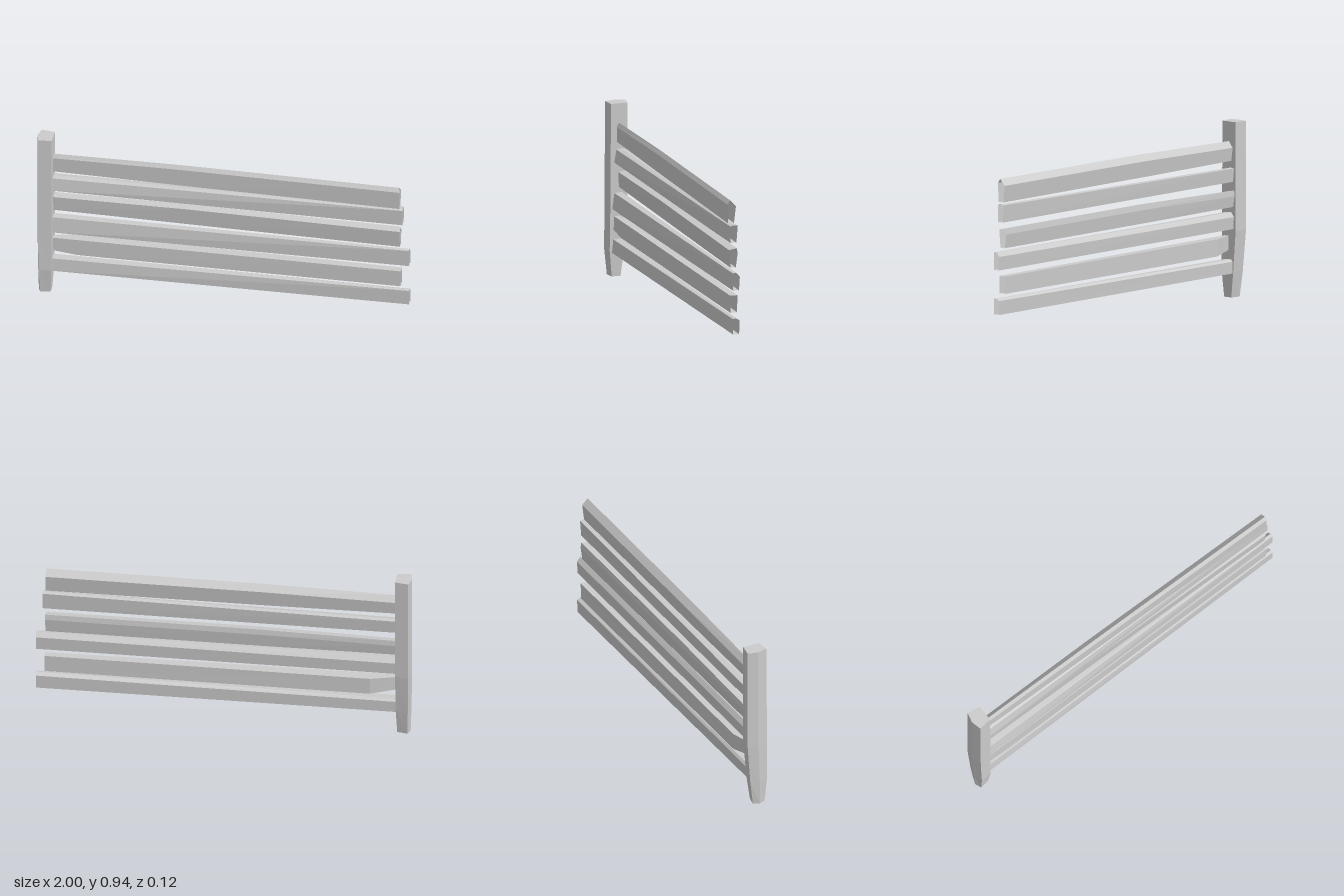
import * as THREE from 'three';

const material = new THREE.MeshStandardMaterial({ color: 0xcccccc, flatShading: true, side: THREE.DoubleSide });

// Skin a list of equal-count rings of Vector3, optionally capping both ends.
function loft(name, rings, capped) {
  const n = rings[0].length;
  const index = [];
  for (let r = 0; r < rings.length - 1; r++) {
    for (let i = 0; i < n; i++) {
      const a = r * n + i, b = r * n + (i + 1) % n;
      index.push(a, a + n, b + n, a, b + n, b);
    }
  }
  if (capped) {
    const e = (rings.length - 1) * n;
    for (let i = 1; i < n - 1; i++) index.push(0, i, i + 1, e, e + i + 1, e + i);
  }
  const indexed = new THREE.BufferGeometry().setFromPoints(rings.flat());
  indexed.setIndex(index);
  const geometry = indexed.toNonIndexed();
  geometry.computeVertexNormals();
  const mesh = new THREE.Mesh(geometry, material);
  mesh.name = name;
  return mesh;
}

// One level of the five-sided post: flat inner side, pointed outer side.
function postRing(y, front, back, inner, outer) {
  return [
    new THREE.Vector3(inner, y, front - 0.009),
    new THREE.Vector3(outer + 0.013, y, front),
    new THREE.Vector3(outer, y, (front + back) / 2),
    new THREE.Vector3(outer + 0.013, y, back),
    new THREE.Vector3(inner, y, back + 0.011),
  ];
}

// Hollow rail, open at its ends. The crown sets the ridge along the top: its z,
// the drop to the front and back shoulders, and how far the back face tucks in below.
// Each station gives x, top y, bottom y, front z at the top and bottom, and back z.
function makeRail(name, { ridge, dropFront, dropBack, tuck }, stations) {
  const rings = stations.map(([x, top, bottom, frontTop, frontBottom, back]) => [
    new THREE.Vector3(x, top - dropFront, frontTop),
    new THREE.Vector3(x, top, ridge),
    new THREE.Vector3(x, top - dropBack, back),
    new THREE.Vector3(x, bottom, back * tuck),
    new THREE.Vector3(x, bottom, frontBottom),
  ]);
  return loft(name, rings, false);
}

export function createModel() {
  const model = new THREE.Group();
  model.name = 'fencePanel';

  // Post, tapering towards the foot
  model.add(loft('post', [
    postRing(0, 0.047, -0.022, -0.922, -0.99),
    postRing(0.14, 0.06, -0.04, -0.916, -0.995),
    postRing(0.36, 0.057, -0.058, -0.915, -1),
    postRing(0.94, 0.053, -0.058, -0.915, -1),
  ], true));

  // Rails, from top to bottom
  model.add(
    makeRail('topRail', { ridge: 0, dropFront: 0.022, dropBack: 0.034, tuck: 0.65 }, [
      [-0.92, 0.835, 0.731, 0.012, 0.01, -0.026],
      [-0.2, 0.847, 0.727, 0.014, 0.012, -0.031],
      [0.95, 0.848, 0.724, 0.015, 0.012, -0.032],
    ]),
    makeRail('secondRail', { ridge: -0.012, dropFront: 0.006, dropBack: 0.003, tuck: 0.8 }, [
      [-0.92, 0.695, 0.62, 0.014, 0.026, -0.036],
      [0.965, 0.715, 0.619, 0.004, 0.003, -0.037],
    ]),
    makeRail('thirdRail', { ridge: -0.037, dropFront: 0.007, dropBack: 0.03, tuck: 0.76 }, [
      [-0.92, 0.574, 0.486, 0.004, 0, -0.039],
      [-0.2, 0.586, 0.483, 0.006, -0.002, -0.041],
      [0.95, 0.585, 0.481, 0.007, -0.002, -0.041],
    ]),
    makeRail('fourthRail', { ridge: -0.016, dropFront: 0.003, dropBack: 0.024, tuck: 0.87 }, [
      [-0.92, 0.457, 0.368, 0.025, 0.037, -0.035],
      [1, 0.465, 0.368, 0.001, 0, -0.037],
    ]),
    // Whittled to a thin tongue where it meets the post
    makeRail('fifthRail', { ridge: 0.001, dropFront: 0, dropBack: 0, tuck: 0.97 }, [
      [-0.912, 0.33, 0.254, 0.029, 0.03, 0],
      [-0.78, 0.33, 0.238, 0.027, 0.028, -0.037],
      [0.955, 0.331, 0.238, 0.002, 0.001, -0.038],
    ]),
    makeRail('bottomRail', { ridge: -0.014, dropFront: 0.003, dropBack: 0.012, tuck: 0.92 }, [
      [-0.92, 0.205, 0.13, 0.031, 0.038, -0.026],
      [1, 0.217, 0.13, 0.001, 0, -0.036],
    ]),
  );
  return model;
}
